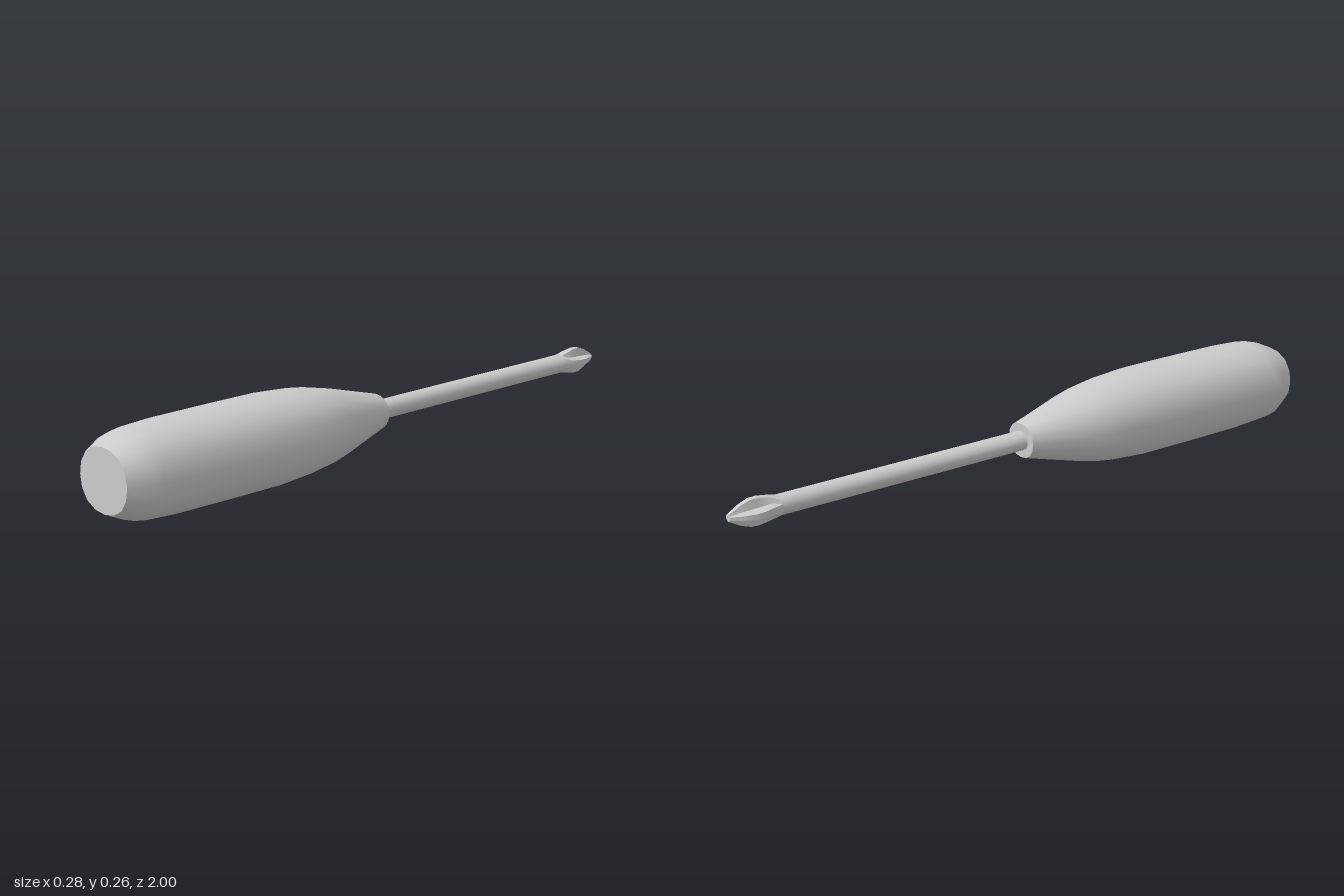
import * as THREE from 'three';
import { toCreasedNormals } from 'three/addons/utils/BufferGeometryUtils.js';

const AXIS_Y = 0.133;

// Skin through closed rings, ordered from +z to -z, each counter-clockwise seen from +z
function loft(rings, crease) {
  const n = rings[0].length, pos = [], idx = [];
  rings.forEach(ring => ring.forEach(p => pos.push(...p)));
  for (let i = 0; i < rings.length - 1; i++) {
    for (let j = 0; j < n; j++) {
      const a = i * n + j, b = i * n + (j + 1) % n;
      idx.push(a, a + n, b, b, a + n, b + n);
    }
  }
  // flat end caps
  const last = (rings.length - 1) * n, c = pos.length / 3;
  pos.push(0, 0, rings[0][0][2], 0, 0, rings[rings.length - 1][0][2]);
  for (let j = 0; j < n; j++) {
    const k = (j + 1) % n;
    idx.push(c, j, k, c + 1, last + k, last + j);
  }
  const g = new THREE.BufferGeometry();
  g.setAttribute('position', new THREE.Float32BufferAttribute(pos, 3));
  g.setIndex(idx);
  return toCreasedNormals(g, crease);
}

// Slightly squared ellipse
function oval(z, rx, ry, sides, bulge = 0) {
  return Array.from({ length: sides }, (_, j) => {
    const a = j / sides * Math.PI * 2;
    const k = 1 + bulge * Math.sin(2 * a) ** 2;
    return [rx * k * Math.cos(a), ry * k * Math.sin(a), z];
  });
}

// Cross of four blades with a groove between each pair
function cross(z, r, halfAngle, groove) {
  const ring = [];
  for (let q = 0; q < 4; q++) {
    const a = q * Math.PI / 2;
    for (const [da, rad] of [[-halfAngle, r], [0, r], [halfAngle, r], [Math.PI / 4, groove]]) {
      ring.push([rad * Math.cos(a + da), 0.92 * rad * Math.sin(a + da), z]);
    }
  }
  return ring;
}

export function createModel() {
  const group = new THREE.Group();
  const material = new THREE.MeshStandardMaterial({ color: 0xcccccc });
  const add = (name, geometry) => {
    const mesh = new THREE.Mesh(geometry, material);
    mesh.name = name;
    mesh.position.y = AXIS_Y;
    group.add(mesh);
  };

  // Handle: z, half width, half height
  const profile = [
    [1, 0.098, 0.092], [0.94, 0.128, 0.119], [0.9, 0.134, 0.125], [0.8, 0.139, 0.13],
    [0.6, 0.141, 0.131], [0.42, 0.14, 0.131], [0.3, 0.132, 0.123], [0.24, 0.124, 0.115],
    [0.18, 0.11, 0.102], [-0.01, 0.057, 0.052],
  ];
  add('handle', loft(profile.map(([z, rx, ry]) => oval(z, rx, ry, 16, 0.035)), 0.75));

  // Shaft
  add('shaft', loft([oval(0.02, 0.032, 0.029, 16), oval(-0.85, 0.032, 0.029, 16)], 0.75));

  // Cross-head tip: z, blade radius, blade half angle, groove radius
  const tip = [
    [-0.845, 0.032, 0.39, 0.032], [-0.875, 0.038, 0.32, 0.027], [-0.91, 0.044, 0.22, 0.021],
    [-0.935, 0.043, 0.2, 0.019], [-0.965, 0.032, 0.22, 0.016], [-1, 0.012, 0.4, 0.009],
  ];
  add('crossTip', loft(tip.map(ring => cross(...ring)), 0.5));

  return group;
}
